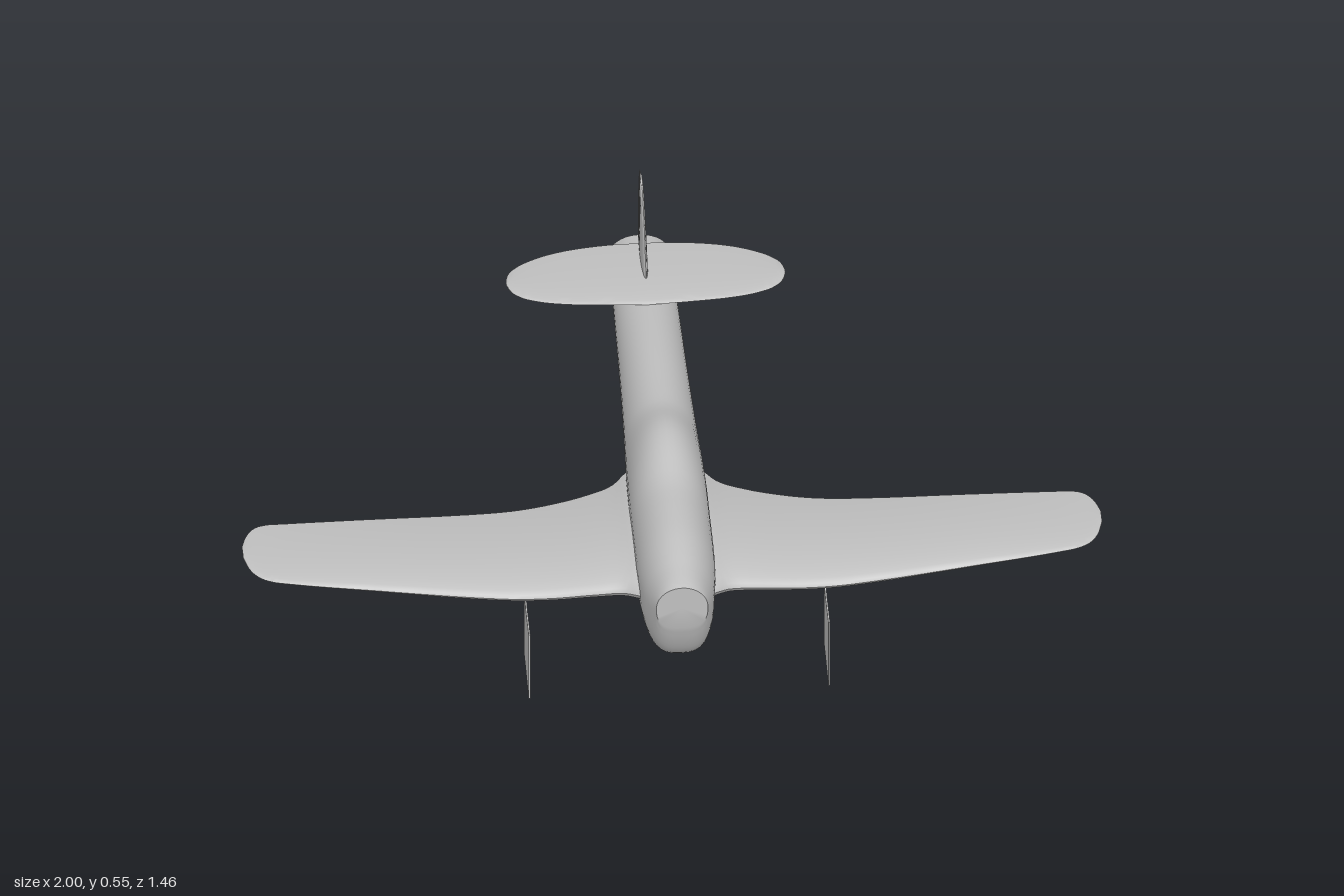
import * as THREE from 'three';
import { toCreasedNormals } from 'three/addons/utils/BufferGeometryUtils.js';

// Smoothly resample rows of numbers; the first number in each row is the station position.
function resample(rows, steps) {
  const size = rows[0].length;
  const spline = new THREE.CubicInterpolant(rows.map(r => r[0]), rows.flat(), size, new Float32Array(size));
  const out = [];
  for (let i = 0; i < rows.length - 1; i++) {
    for (let k = 0; k < steps; k++) {
      out.push([...spline.evaluate(THREE.MathUtils.lerp(rows[i][0], rows[i + 1][0], k / steps))]);
    }
  }
  out.push(rows[rows.length - 1]);
  return out;
}

// Skin closed rings of points and cap both ends, facing outwards.
function loft(rings, crease = 0.8) {
  const n = rings[0].length, pts = rings.flat(), tris = [];
  for (let r = 0; r < rings.length - 1; r++) {
    for (let i = 0; i < n; i++) {
      const a = r * n + i, b = r * n + (i + 1) % n;
      tris.push([a, b, a + n], [b, b + n, a + n]);
    }
  }
  const last = (rings.length - 1) * n;
  [[0, true], [last, false]].forEach(([start, flip]) => {
    const centre = new THREE.Vector3();
    for (let i = 0; i < n; i++) centre.addScaledVector(pts[start + i], 1 / n);
    pts.push(centre);
    for (let i = 0; i < n; i++) {
      const a = start + i, b = start + (i + 1) % n;
      tris.push(flip ? [b, a, pts.length - 1] : [a, b, pts.length - 1]);
    }
  });
  let volume = 0;
  const cross = new THREE.Vector3();
  for (const [a, b, c] of tris) volume += pts[a].dot(cross.crossVectors(pts[b], pts[c]));
  if (volume < 0) tris.forEach(t => t.reverse());
  const geo = new THREE.BufferGeometry().setFromPoints(pts);
  geo.setIndex(tris.flat());
  return toCreasedNormals(geo, crease);
}

// Airfoil surface: rows are [span, leading z, trailing z, offset, thickness].
function airfoil(rows, place) {
  const n = 28;
  return loft(resample(rows, 4).map(([s, lead, trail, off, thick]) => {
    const ring = [];
    for (let i = 0; i < n; i++) {
      const t = i / n * Math.PI * 2, c = (1 - Math.cos(t)) / 2;
      const h = Math.sign(Math.sin(t)) * thick * 1.3 * Math.sqrt(c) * (1 - c);
      ring.push(place(s, off + h, THREE.MathUtils.lerp(lead, trail, c)));
    }
    return ring;
  }));
}

export function createModel() {
  const model = new THREE.Group();
  const grey = new THREE.MeshStandardMaterial({ color: 0xc0c0c0 });
  grey.name = 'light grey';
  const add = (name, geo) => {
    const mesh = new THREE.Mesh(geo, grey);
    mesh.name = name;
    model.add(mesh);
    return mesh;
  };

  // Fuselage: [z, top, bottom, widest height, half width], with deep chin and faired canopy
  const body = [
    [-0.69, 0.34, 0.234, 0.287, 0.07], [-0.5, 0.361, 0.217, 0.288, 0.075],
    [-0.2, 0.388, 0.194, 0.288, 0.08], [0, 0.4, 0.18, 0.285, 0.085],
    [0.06, 0.407, 0.175, 0.283, 0.087], [0.15, 0.434, 0.168, 0.28, 0.09],
    [0.2, 0.44, 0.163, 0.28, 0.091], [0.26, 0.434, 0.156, 0.28, 0.092],
    [0.36, 0.411, 0.14, 0.28, 0.092], [0.46, 0.41, 0.124, 0.28, 0.092],
    [0.55, 0.408, 0.113, 0.28, 0.09], [0.62, 0.398, 0.12, 0.28, 0.083],
    [0.66, 0.39, 0.135, 0.285, 0.076], [0.69, 0.385, 0.165, 0.295, 0.07],
    [0.715, 0.38, 0.215, 0.31, 0.064], [0.73, 0.376, 0.26, 0.32, 0.06],
  ];
  add('fuselage', loft(resample(body, 3).map(([z, top, bottom, mid, w]) => {
    const ring = [], n = 40;
    for (let i = 0; i < n; i++) {
      const t = i / n * Math.PI * 2, s = Math.sin(t), c = Math.cos(t);
      const p = s < 0 ? 2 / THREE.MathUtils.lerp(2, 2.8, THREE.MathUtils.clamp((z + 0.69) / 1, 0, 1)) : 1;
      const x = w * Math.sign(c) * Math.abs(c) ** p;
      const y = s < 0 ? mid - (mid - bottom) * Math.abs(s) ** p : mid + (top - mid) * s;
      ring.push(new THREE.Vector3(x, y, z));
    }
    return ring;
  })));

  // Gull-shaped wing with root fillets and rounded tips
  const wing = [
    [0.05, 0.6, 0.07, 0.25, 0.085], [0.09, 0.58, 0.105, 0.246, 0.08],
    [0.12, 0.562, 0.14, 0.241, 0.073], [0.18, 0.553, 0.166, 0.234, 0.064],
    [0.28, 0.545, 0.186, 0.223, 0.056], [0.36, 0.54, 0.198, 0.22, 0.052],
    [0.46, 0.534, 0.211, 0.225, 0.047], [0.7, 0.521, 0.245, 0.249, 0.033],
    [0.9, 0.508, 0.275, 0.269, 0.019], [0.94, 0.502, 0.282, 0.273, 0.015],
    [0.97, 0.485, 0.3, 0.276, 0.011], [0.99, 0.452, 0.335, 0.278, 0.008],
    [1, 0.415, 0.37, 0.279, 0.005],
  ];
  // Tailplane halves
  const tail = [
    [0, -0.372, -0.612, 0.374, 0.016], [0.1, -0.378, -0.607, 0.374, 0.015],
    [0.2, -0.388, -0.588, 0.374, 0.013], [0.26, -0.403, -0.563, 0.374, 0.011],
    [0.3, -0.425, -0.535, 0.374, 0.009], [0.32, -0.453, -0.507, 0.374, 0.007],
    [0.325, -0.472, -0.488, 0.374, 0.005],
  ];
  // Undercarriage door outline, drawn in z and y
  const door = new THREE.Shape([[-0.635, 0.003], [-0.49, 0.02], [-0.49, 0.2], [-0.535, 0.187], [-0.635, 0.187]]
    .map(p => new THREE.Vector2(...p)));
  for (const [side, label] of [[1, 'left'], [-1, 'right']]) {
    const place = (s, y, z) => new THREE.Vector3(side * s, y, z);
    add(label + 'Wing', airfoil(wing, place));
    add(label + 'Tailplane', airfoil(tail, place));
    const plate = new THREE.ExtrudeGeometry(door, { depth: 0.004, bevelEnabled: false });
    plate.translate(0, 0, -0.002).rotateY(Math.PI / 2);
    const mesh = add(label + 'GearDoor', plate);
    mesh.position.x = side * 0.349;
  }

  // Fin and rudder, reaching below the tail end
  const fin = [
    [0.213, -0.63, -0.645, 0, 0.006], [0.235, -0.61, -0.69, 0, 0.01],
    [0.29, -0.57, -0.717, 0, 0.014], [0.34, -0.49, -0.728, 0, 0.016],
    [0.375, -0.462, -0.73, 0, 0.016], [0.43, -0.488, -0.725, 0, 0.014],
    [0.49, -0.526, -0.708, 0, 0.011], [0.53, -0.565, -0.685, 0, 0.009],
    [0.548, -0.595, -0.662, 0, 0.007], [0.555, -0.622, -0.64, 0, 0.005],
  ];
  add('finAndRudder', airfoil(fin, (s, x, z) => new THREE.Vector3(x, s, z)));
  return model;
}
